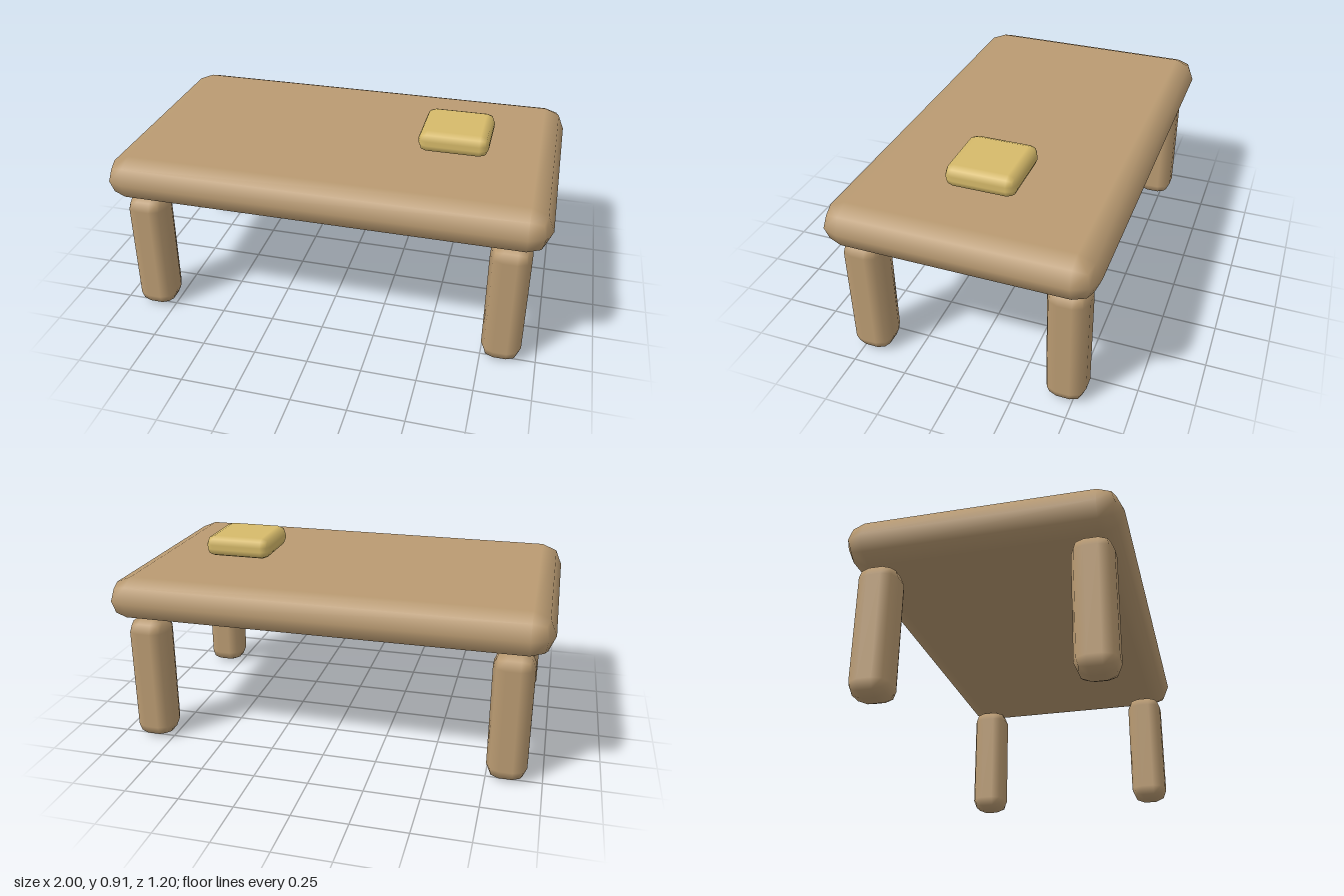
import * as THREE from 'three';
import { RoundedBoxGeometry } from 'three/addons/geometries/RoundedBoxGeometry.js';

export function createModel() {
  const model = new THREE.Group();
  model.name = 'table';

  const wood = new THREE.MeshStandardMaterial({ color: 0xba9b72 });
  wood.name = 'wood';
  const yellow = new THREE.MeshStandardMaterial({ color: 0xd6ba6a });
  yellow.name = 'yellow';

  // Softly bevelled block: size, bevel radius and centre
  function block(name, material, [w, h, d], radius, [x, y, z]) {
    const mesh = new THREE.Mesh(new RoundedBoxGeometry(w, h, d, 1, radius), material);
    mesh.name = name;
    mesh.position.set(x, y, z);
    model.add(mesh);
  }

  // Thick table top
  block('tableTop', wood, [2, 0.2, 1.2], 0.1, [0, 0.7, 0]);

  // Four legs
  for (const [side, sx] of [['Left', 1], ['Right', -1]]) {
    for (const [end, sz] of [['front', 1], ['back', -1]]) {
      block(`${end}${side}Leg`, wood, [0.18, 0.6, 0.18], 0.06, [sx * 0.84, 0.3, sz * 0.46]);
    }
  }

  // Small square pad hovering just above the top
  block('pad', yellow, [0.32, 0.1, 0.32], 0.04, [0.52, 0.86, 0]);

  return model;
}
